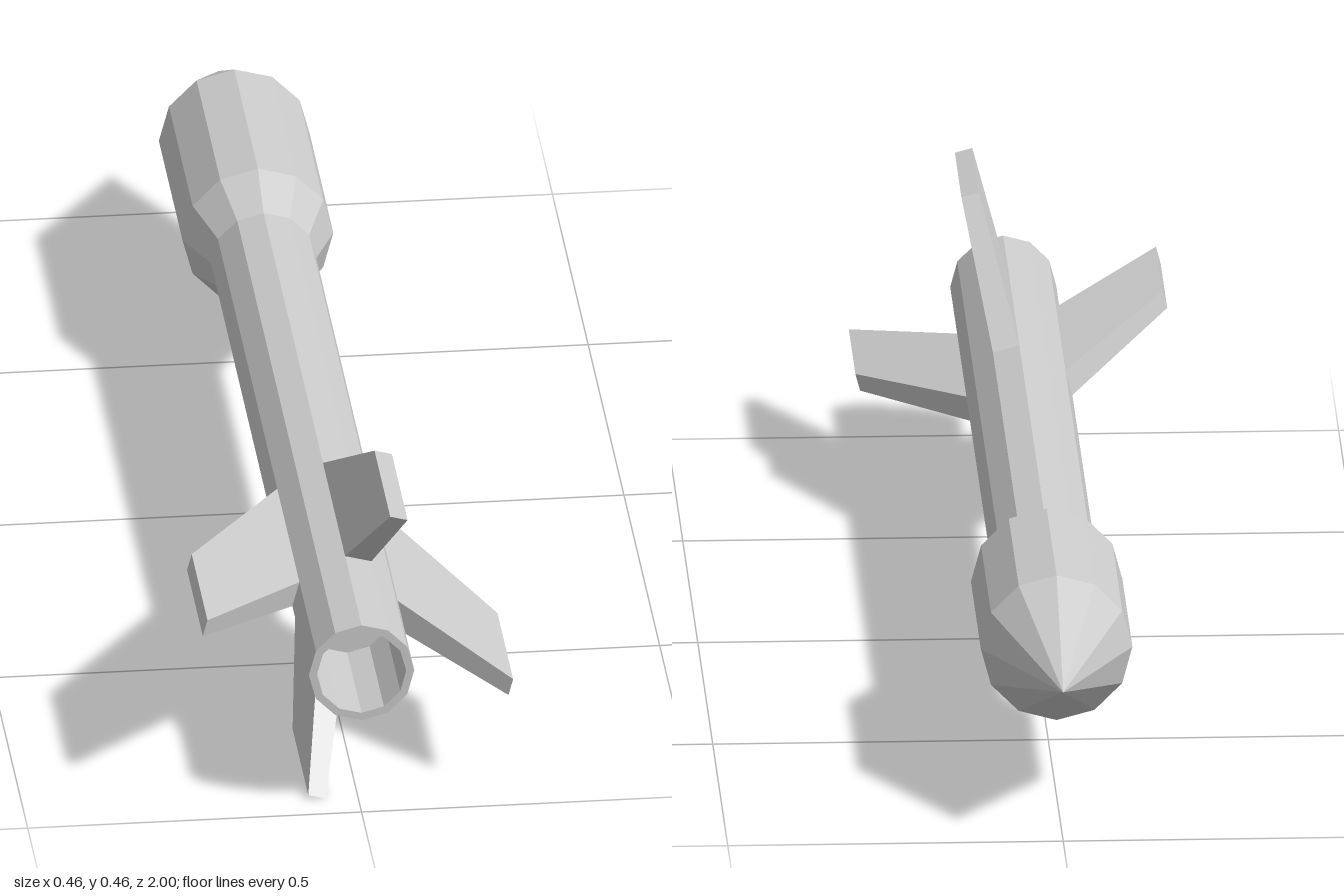
import * as THREE from 'three';

const AXIS_HEIGHT = 0.233;
const SIDES = 12;
const TUBE_RADIUS = 0.079;

// Tapered, swept fin: a box whose corners move to the root and tip edges
function finGeometry() {
  const root = { r: TUBE_RADIUS * Math.cos(Math.PI / SIDES), half: TUBE_RADIUS * Math.sin(Math.PI / SIDES), lead: 0.46, trail: 0.77 };
  const tip = { r: 0.237, half: 0.0135, lead: 0.73, trail: 0.95 };
  const geometry = new THREE.BoxGeometry(1, 1, 1);
  const p = geometry.attributes.position;
  for (let i = 0; i < p.count; i++) {
    const end = p.getY(i) < 0 ? root : tip;
    p.setXYZ(i, Math.sign(p.getX(i)) * end.half, end.r, p.getZ(i) < 0 ? end.lead : end.trail);
  }
  geometry.computeVertexNormals();
  return geometry;
}

export function createModel() {
  const model = new THREE.Group();
  model.name = 'rocket';
  const material = new THREE.MeshStandardMaterial({ color: 0xcccccc, flatShading: true });

  // Turned part from [radius, z] pairs, running from the tail (+z) to the nose (-z)
  const addTurned = (name, profile) => {
    const points = profile.map(([r, z]) => new THREE.Vector2(r, -z));
    const mesh = new THREE.Mesh(new THREE.LatheGeometry(points, SIDES).rotateX(-Math.PI / 2), material);
    mesh.name = name;
    mesh.position.y = AXIS_HEIGHT;
    model.add(mesh);
  };

  // Hollow tail end, rim and long tube
  addTurned('bodyTube', [[0, 0.8], [0.067, 0.8], [0.067, 1], [TUBE_RADIUS, 1], [TUBE_RADIUS, -0.37]]);
  // Flared collar and wide head
  addTurned('warhead', [[TUBE_RADIUS, -0.37], [0.113, -0.45], [0.113, -0.78]]);
  // Pointed nose
  addTurned('noseCone', [[0.113, -0.78], [0, -1]]);

  // Four fins, each on a flat side of the tube
  const fin = finGeometry();
  for (let i = 0; i < 4; i++) {
    const mesh = new THREE.Mesh(fin, material);
    mesh.name = `fin${i + 1}`;
    mesh.position.y = AXIS_HEIGHT;
    mesh.rotation.z = -Math.PI / SIDES + i * Math.PI / 2;
    model.add(mesh);
  }
  return model;
}
